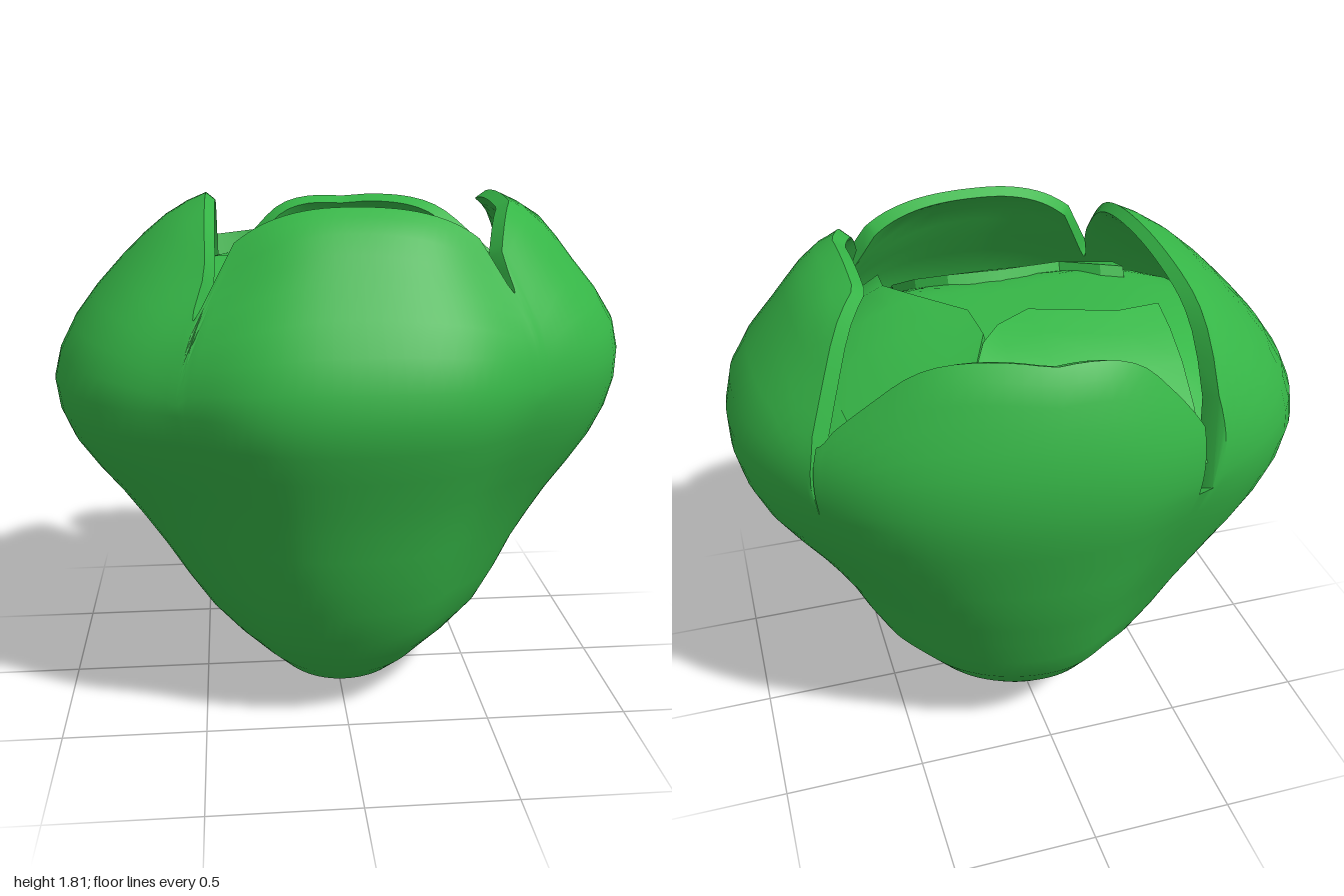
import * as THREE from 'three';
import { mergeGeometries, toCreasedNormals } from 'three/addons/utils/BufferGeometryUtils.js';

const { smoothstep, lerp } = THREE.MathUtils;

// Silhouette radii toward each side, one per height level
const H = [0, 0.04, 0.15, 0.35, 0.6, 0.8, 1.0, 1.2, 1.4, 1.6, 1.74, 1.81];
const profile = (radii) => new THREE.SplineCurve(radii.map((r, i) => new THREE.Vector2(r, H[i])));
const LEFT = profile([0, 0.18, 0.34, 0.54, 0.665, 0.79, 0.93, 0.995, 0.97, 0.82, 0.7, 0.57]);
const RIGHT = profile([0, 0.17, 0.31, 0.5, 0.66, 0.8, 0.95, 1.0, 0.92, 0.75, 0.59, 0.45]);
const FRONT = profile([0, 0.23, 0.4, 0.56, 0.67, 0.73, 0.8, 0.86, 0.81, 0.67, 0.58, 0.49]);
const BACK = profile([0, 0.2, 0.35, 0.53, 0.64, 0.72, 0.78, 0.84, 0.855, 0.81, 0.73, 0.5]);

// Seams between petals: angle, level of the notch bottom, pinch low down and near the top
const SEAMS = [
  { a: Math.atan2(-0.5, 0.76), notch: 8.2, low: 0.045, high: 0.02 },
  { a: Math.atan2(0.53, 0.49), notch: 8.7, low: 0.075, high: 0.06 },
  { a: Math.atan2(0.55, -0.45), notch: 8.4, low: 0.07, high: 0.06 },
  { a: Math.atan2(-0.76, -0.4) + 2 * Math.PI, notch: 9.0, low: 0.07, high: 0.03 },
];
// Each petal stops where its rim meets the opening
const KEEP = [
  (x, z) => x > 0.57 - 0.3 * Math.max(0, z - 0.2) + 0.7 * Math.max(0, -z - 0.2),
  (x, z) => z > 0.49,
  (x) => x < -0.455,
  (x, z) => z < -0.74 + 0.36 * Math.max(0, x - 0.1),
];

const angleGap = (a, b) => Math.abs(Math.atan2(Math.sin(a - b), Math.cos(a - b)));

// Point on the bud at an angle and level: squarer toward the front top, pinched along the seams
function surface(angle, level, scale = 1, drop = 0) {
  const c = Math.cos(angle), s = Math.sin(angle), u = level / (H.length - 1);
  const px = (c > 0 ? LEFT : RIGHT).getPoint(u), pz = (s > 0 ? FRONT : BACK).getPoint(u);
  const p = 2 + (0.22 + 0.18 * s) * smoothstep(level, 5, 9.5);
  const sum = Math.abs(c / Math.max(px.x, 1e-4)) ** p + Math.abs(s / Math.max(pz.x, 1e-4)) ** p;
  let r = scale / sum ** (1 / p);
  for (const seam of SEAMS) {
    const depth = lerp(seam.low * smoothstep(level, 1, 4), seam.high, smoothstep(level, 4.5, 7.5));
    r *= 1 - depth * Math.exp(-((angleGap(angle, seam.a) / 0.27) ** 2));
  }
  return new THREE.Vector3(c * r, px.y - drop, s * r);
}

// Skin over columns of points, optionally walling off the ends at the fold row
function loft(columns, fold = 0, walls = 0) {
  const n = columns[0].length, idx = [];
  const quad = (a, b, c, d) => idx.push(a, b, c, c, b, d);
  for (let i = 0; i < columns.length - 1; i++)
    for (let j = 0; j < n - 1; j++)
      quad(i * n + j, i * n + j + 1, (i + 1) * n + j, (i + 1) * n + j + 1);
  const last = (columns.length - 1) * n;
  for (let k = 0; k < walls; k++) {
    const o = fold - 1 - k, i = fold + k;
    quad(o, i, o - 1, i + 1);
    quad(last + o, last + o - 1, last + i, last + i + 1);
  }
  const g = new THREE.BufferGeometry();
  g.setAttribute('position', new THREE.Float32BufferAttribute(columns.flat().flatMap((p) => p.toArray()), 3));
  g.setIndex(idx);
  return g;
}

function petal(index) {
  const start = SEAMS[index], end = SEAMS[(index + 1) % 4], columns = [];
  const span = (end.a - start.a + 4 * Math.PI) % (2 * Math.PI), N = 34;
  for (let i = 0; i <= N; i++) {
    const f = 0.5 - 0.5 * Math.cos((Math.PI * i) / N), angle = start.a + span * f;
    let lo = 7, hi = 11;
    for (let k = 0; k < 18; k++) {
      const mid = (lo + hi) / 2, p = surface(angle, mid);
      if (KEEP[index](p.x, p.z)) lo = mid; else hi = mid;
    }
    // Rim dips into the notch at both ends
    const near = f < 0.5 ? start : end, gap = span * Math.min(f, 1 - f);
    const rim = lerp(Math.min(near.notch, lo), lo, smoothstep(gap, 0, 0.05));
    const levels = [];
    for (let j = 0; j < 14; j++) levels.push(j / 2);
    for (let j = 0; j <= 8; j++) levels.push(7 + ((rim - 7) * j) / 8);
    const outer = levels.map((t) => surface(angle, t));
    const inner = levels.slice(-11).reverse().map((t) => surface(angle, t, 0.93, 0.025));
    columns.push([...outer, ...inner]);
  }
  return loft(columns, 23, 10);
}

// Height of the flat-topped heart inside the opening, falling away at the front
function heartHeight(x, z) {
  const p = surface(Math.atan2(z, x), 7.4, 0.95);
  const u = Math.min(1, Math.hypot(x, z) / Math.hypot(p.x, p.z));
  return 1.28 + 0.31 * (1 - u ** 4) - 0.35 * Math.max(0, Math.min(z, 0.5) - 0.18) * (1 - u ** 4);
}

function heart() {
  const columns = [];
  for (let i = 0; i <= 48; i++) {
    const a = (i / 48) * 2 * Math.PI, edge = surface(a, 7.4, 0.95), col = [];
    for (let j = 10; j >= 0; j--) {
      const x = (edge.x * j) / 10, z = (edge.z * j) / 10;
      col.push(new THREE.Vector3(x, heartHeight(x, z), z));
    }
    columns.push(col);
  }
  return loft(columns);
}

// Folded inner leaf: raised free edge with a slanted lip, sinking toward the shell
function leaf(edge, root, lift) {
  return loft(edge.map(([ex, ez], i) => {
    const [rx, rz] = root[i];
    return [-0.06, 0, 0.25, 0.5, 0.75, 1].map((f) => {
      const x = ex + (rx - ex) * f, z = ez + (rz - ez) * f;
      const rise = f < 0 ? -0.02 : lift * (1 - f) + 0.006;
      return new THREE.Vector3(x, heartHeight(x, z) + rise, z);
    });
  }));
}

export function createModel() {
  const model = new THREE.Group();
  model.name = 'bud';
  const green = new THREE.MeshStandardMaterial({ color: 0x36b647, side: THREE.DoubleSide });
  green.name = 'leaf green';
  const add = (name, geometry, crease) => {
    const mesh = new THREE.Mesh(toCreasedNormals(geometry, crease), green);
    mesh.name = name;
    model.add(mesh);
  };

  // Four petals share one skin so the lower body stays smooth
  add('petalShell', mergeGeometries([0, 1, 2, 3].map(petal)), 0.7);
  add('heart', heart(), 0.6);

  add('backInnerLeaf', leaf(
    [[-0.42, -0.26], [-0.26, -0.3], [0.02, -0.23], [0.14, -0.3], [0.21, -0.38], [0.28, -0.52]],
    [[-0.42, -0.7], [-0.26, -0.72], [0.0, -0.72], [0.15, -0.7], [0.25, -0.68], [0.32, -0.66]], 0.07), 0.5);
  add('leftInnerLeaf', leaf(
    [[0.28, -0.52], [0.2, -0.35], [0.21, -0.2], [0.34, -0.05], [0.43, 0.08], [0.4, 0.34]],
    [[0.6, -0.5], [0.65, -0.38], [0.68, -0.2], [0.68, -0.05], [0.66, 0.1], [0.58, 0.34]], 0.08), 0.5);
  add('frontInnerLeaf', leaf(
    [[-0.44, 0.11], [-0.36, 0.13], [-0.24, 0.23], [0, 0.17], [0.18, 0.2], [0.28, 0.28], [0.33, 0.45]],
    [[-0.44, 0.52], [-0.38, 0.54], [-0.24, 0.58], [0, 0.6], [0.18, 0.58], [0.3, 0.55], [0.35, 0.52]], 0.03), 0.5);
  return model;
}
